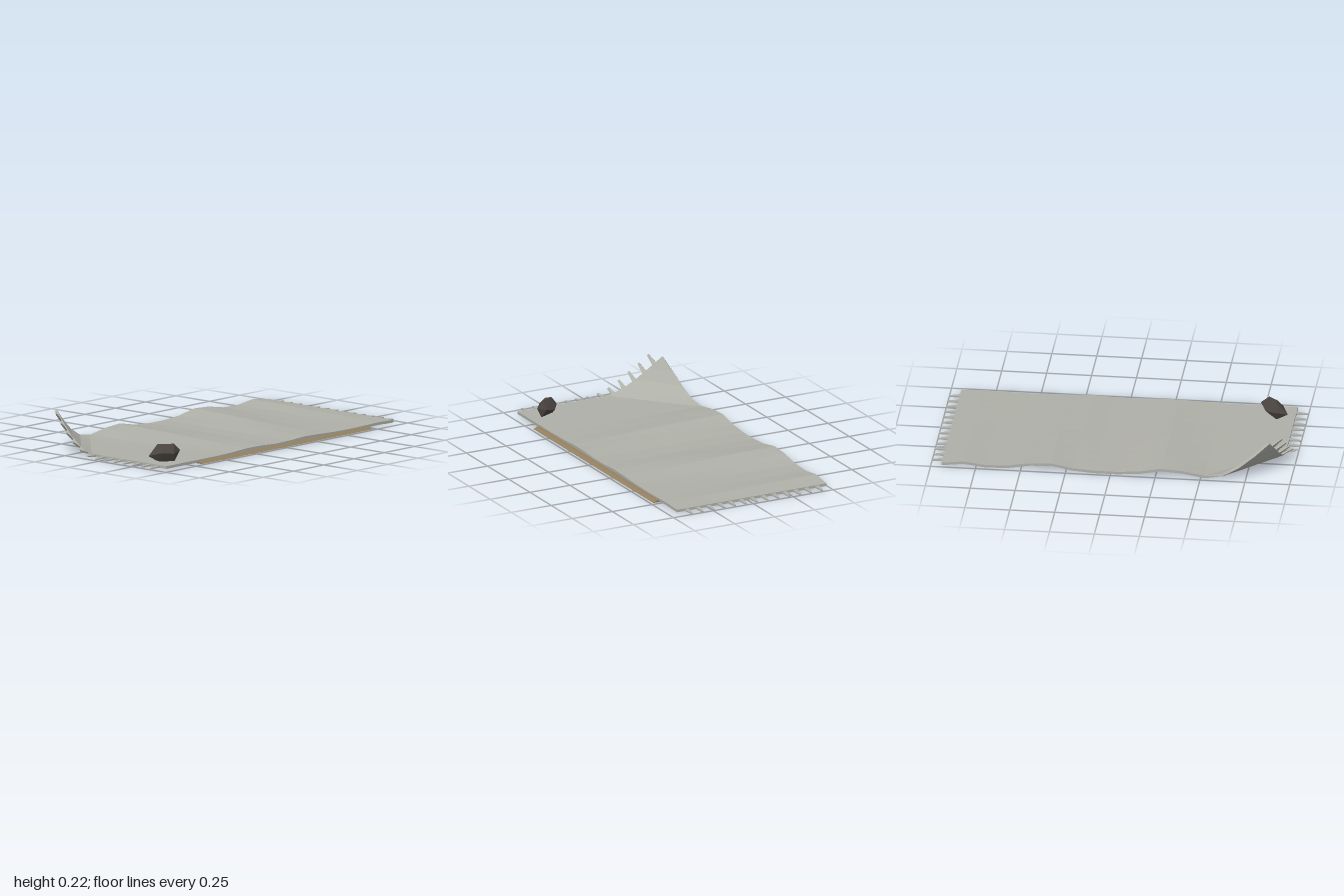
import * as THREE from 'three';
import { ConvexGeometry } from 'three/addons/geometries/ConvexGeometry.js';

const X0 = -0.49, X1 = 0.447, Z0 = -0.94, Z1 = 0.935, THICK = 0.015;

// Place a point of the flat rug (x, z, height t in the cloth) on the wrinkled, curled rug
function drape(x, z, t) {
  const ridge = (c, w, a) => a * Math.exp(-(((z - c) / w) ** 2));
  const wave = ridge(-0.3 + 0.15 * x, 0.14, 0.036) + ridge(0.27 - 0.1 * x, 0.14, 0.036)
    + ridge(-0.8 + 0.04 * x, 0.08, 0.017);
  let y = 0.004 + wave * (0.62 - 0.75 * x);
  const s = (z - x) / Math.SQRT2 - 0.722; // distance past the diagonal fold
  if (s <= 0) return new THREE.Vector3(x, y + t, z);
  const h = s - 0.95 * s * s;
  y += 4.8 * h * h;
  const slope = 9.6 * h, n = Math.hypot(1, slope);
  const shift = (h - s - t * slope / n) / Math.SQRT2;
  return new THREE.Vector3(x - shift, y + t / n, z + shift);
}

// Closed sheet of cloth from a grid of rows and columns
function rugGeometry() {
  const cols = 10, backRows = 12, frontRows = 4, rows = backRows + frontRows, bend = 0.524;
  const pos = [], index = [];
  for (const t of [THICK, 0]) {
    for (let j = 0; j <= rows; j++) {
      const z = j <= backRows ? Z0 + (bend - Z0) * j / backRows
        : bend + (Z1 - bend) * (j - backRows) / frontRows;
      for (let i = 0; i <= cols; i++) pos.push(...drape(X0 + (X1 - X0) * i / cols, z, t).toArray());
    }
  }
  const count = (cols + 1) * (rows + 1);
  const at = (i, j) => j * (cols + 1) + i;
  for (let j = 0; j < rows; j++) {
    for (let i = 0; i < cols; i++) {
      const a = at(i, j), b = at(i + 1, j), c = at(i + 1, j + 1), d = at(i, j + 1);
      index.push(a, d, c, a, c, b);
      index.push(a + count, c + count, d + count, a + count, b + count, c + count);
    }
  }
  const edge = (a, b) => index.push(a, a + count, b + count, a, b + count, b);
  for (let i = 0; i < cols; i++) {
    edge(at(i, rows), at(i + 1, rows));
    edge(at(i + 1, 0), at(i, 0));
  }
  for (let j = 0; j < rows; j++) {
    edge(at(0, j), at(0, j + 1));
    edge(at(cols, j + 1), at(cols, j));
  }
  const geo = new THREE.BufferGeometry();
  geo.setAttribute('position', new THREE.Float32BufferAttribute(pos, 3));
  geo.setIndex(index);
  const flat = geo.toNonIndexed();
  flat.computeVertexNormals();
  return flat;
}

// Tapered tassel that follows the cloth; side is +1 at the front, -1 at the back
function tasselGeometry(x, side) {
  const geo = new THREE.BoxGeometry(1, 1, 1).toNonIndexed();
  const p = geo.attributes.position;
  for (let i = 0; i < p.count; i++) {
    const tip = p.getZ(i) * side > 0;
    const px = x + p.getX(i) * (tip ? 0.012 : 0.028);
    const pz = side > 0 ? (tip ? 0.998 : Z1 - 0.01) : (tip ? -1 : Z0 + 0.01);
    const t = p.getY(i) > 0 ? (tip ? 0.006 : 0.012) : (tip ? 0 : 0.002);
    const v = drape(px, pz, t);
    p.setXYZ(i, v.x, v.y, v.z);
  }
  geo.computeVertexNormals();
  return geo;
}

export function createModel() {
  const model = new THREE.Group();
  const material = (name, color) => {
    const m = new THREE.MeshStandardMaterial({ color, flatShading: true });
    m.name = name;
    return m;
  };
  const cloth = material('greyCloth', 0xaeafa7);
  const stone = material('darkStone', 0x4a4440);
  const sand = material('tanSand', 0x937f60);
  const add = (name, geo, mat, parent = model) => {
    const mesh = new THREE.Mesh(geo, mat);
    mesh.name = name;
    parent.add(mesh);
  };

  add('rug', rugGeometry(), cloth);

  // Rows of tassels on both short ends
  for (const [name, side] of [['frontFringe', 1], ['backFringe', -1]]) {
    const fringe = new THREE.Group();
    fringe.name = name;
    for (let i = 0; i < 13; i++) add('tassel', tasselGeometry(-0.43 + i * 0.068, side), cloth, fringe);
    model.add(fringe);
  }

  // Faceted stone weighing down one corner
  const stonePoints = [
    [0.257, 0.066, 0.83], [0.28, 0.05, 0.898], [0.348, 0.07, 0.865],
    [0.39, 0.064, 0.81], [0.37, 0.075, 0.737], [0.3, 0.055, 0.772],
    [0.288, 0.109, 0.835], [0.365, 0.115, 0.785], [0.33, 0.11, 0.835],
    [0.28, 0.017, 0.835], [0.375, 0.017, 0.79], [0.325, 0.017, 0.85],
  ].map((p) => new THREE.Vector3(...p));
  add('stone', new ConvexGeometry(stonePoints), stone);

  // Low drift of sand along the left edge
  const drift = [];
  for (const [z, x] of [[-0.73, 0.483], [-0.02, 0.478], [0.68, 0.483]]) {
    drift.push(new THREE.Vector3(0.435, 0, z), new THREE.Vector3(x, 0, z),
      new THREE.Vector3(0.462, 0.011, z), new THREE.Vector3(0.44, 0.012, z));
  }
  add('sandDrift', new ConvexGeometry(drift), sand);

  return model;
}
